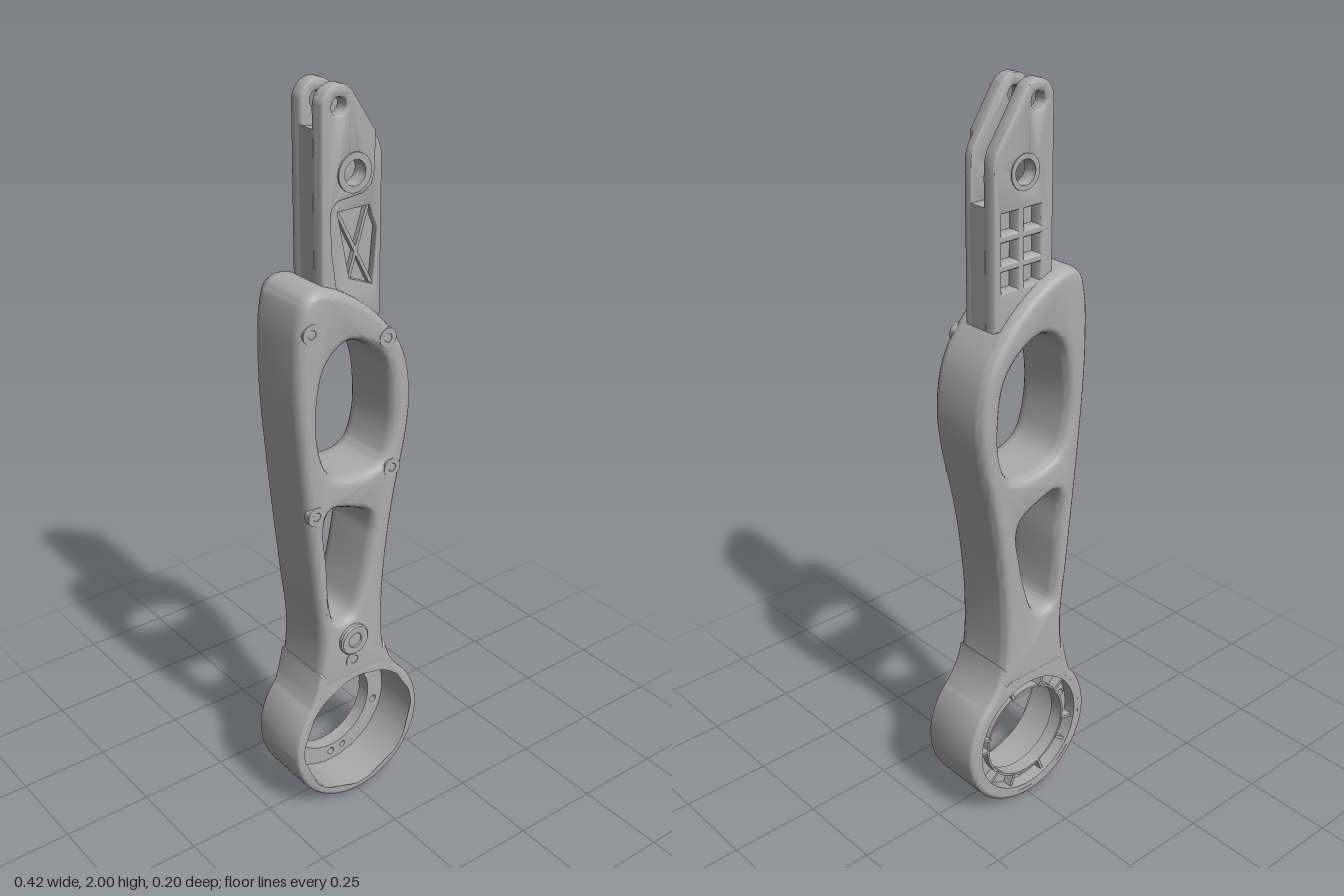
import * as THREE from 'three';
import { toCreasedNormals } from 'three/addons/utils/BufferGeometryUtils.js';

const metal = new THREE.MeshStandardMaterial({ color: 0xacacac });
metal.name = 'grey metal';

const vecs = (pts) => pts.map(([x, y]) => new THREE.Vector2(x, y));
const poly = (pts) => new THREE.Shape(vecs(pts));
const circle = (x, y, r, n = 32) => poly(Array.from({ length: n }, (_, i) => {
  const a = (i / n) * Math.PI * 2;
  return [x + r * Math.cos(a), y + r * Math.sin(a)];
}));
const arc = (x, y, r, from, to, n) => Array.from({ length: n + 1 }, (_, i) => {
  const a = THREE.MathUtils.degToRad(from + ((to - from) * i) / n);
  return [x + r * Math.cos(a), y + r * Math.sin(a)];
});
// smooth curve through points
const spline = (pts, closed, n) => new THREE.Shape(
  new THREE.CatmullRomCurve3(pts.map(([x, y]) => new THREE.Vector3(x, y, 0)), closed, 'centripetal')
    .getPoints(n).slice(0, closed ? n : n + 1).map((p) => new THREE.Vector2(p.x, p.y)));

// plate between two depths, with rounded edges that stay inside the outline; holes run counterclockwise
function slab(shape, holes, z0, z1, size = 0, thick = size, segments = 4) {
  shape.holes = holes;
  const g = new THREE.ExtrudeGeometry(shape, {
    depth: z1 - z0 - 2 * thick, bevelEnabled: size > 0, bevelSize: size, bevelOffset: -size,
    bevelThickness: thick, bevelSegments: segments, curveSegments: 32,
  });
  return g.translate(0, 0, z0 + thick);
}

export function createModel() {
  const model = new THREE.Group();
  const add = (name, geometry, parent = model) => {
    const m = new THREE.Mesh(toCreasedNormals(geometry, 0.6), metal);
    m.name = name;
    parent.add(m);
    return m;
  };

  // curved handle with two rounded openings
  const handle = spline([
    [-0.138, 0.401], [-0.127, 0.45], [-0.121, 0.55], [-0.138, 0.71], [-0.168, 1.0], [-0.188, 1.25],
    [-0.189, 1.38], [-0.183, 1.46], [-0.165, 1.52], [-0.13, 1.54], [-0.07, 1.527], [0.01, 1.48],
    [0.09, 1.405], [0.142, 1.325], [0.165, 1.21], [0.158, 1.1], [0.12, 0.92], [0.096, 0.76],
    [0.085, 0.6], [0.091, 0.47], [0.111, 0.401]], false, 120);
  const upperHole = spline([
    [-0.04, 1.388], [-0.1, 1.345], [-0.127, 1.24], [-0.123, 1.13], [-0.09, 1.045], [0, 1.015],
    [0.07, 1.03], [0.098, 1.09], [0.104, 1.18], [0.083, 1.3], [0.025, 1.365]], true, 64);
  const lowerHole = spline([
    [-0.108, 0.9], [-0.1, 0.79], [-0.09, 0.65], [-0.077, 0.605], [-0.05, 0.592], [-0.02, 0.605],
    [0.01, 0.68], [0.034, 0.79], [0.042, 0.85], [0.03, 0.893], [-0.03, 0.925], [-0.09, 0.938]], true, 64);
  add('handle', slab(handle, [upperHole, lowerHole], -0.103, 0.087, 0.022, 0.032, 5));

  // end ring with neck; the bore is widened after bevelling so its walls stay straight
  const cy = 0.21, R = 0.21;
  const ringShape = poly([
    ...arc(0, cy, R, 45, -222, 90), [-0.146, 0.385], [-0.137, 0.42], [-0.131, 0.45],
    [-0.07, 0.435], [0, 0.43], [0.05, 0.441], [0.094, 0.466], [0.099, 0.445], [0.112, 0.41], [0.13, 0.38]]);
  const ring = slab(ringShape, [circle(0, cy, 0.15, 90)], -0.1, 0.086, 0.014);
  const p = ring.attributes.position;
  for (let i = 0; i < p.count; i++) {
    const x = p.getX(i), y = p.getY(i) - cy, r = Math.hypot(x, y);
    if (r < 0.17) p.setXY(i, (x * 0.187) / r, cy + (y * 0.187) / r);
  }
  add('endRing', ring);

  // flange inside the ring, drilled around its edge
  const drill = [90, 45, -15, -90, -135, 165].map((a) => {
    const [[x, y]] = arc(0, cy, 0.159, a, a, 1);
    return circle(x, y, 0.011, 16);
  });
  drill.push(circle(-0.042, 0.363, 0.009, 12), circle(0.042, 0.057, 0.009, 12));
  add('ringFlange', slab(circle(0, cy, 0.189, 72), [circle(0, cy, 0.135, 72), ...drill], -0.062, -0.045));
  add('rearRim', slab(circle(0, cy, 0.19, 72), [circle(0, cy, 0.173, 72)], -0.099, -0.05));
  add('rearLip', slab(circle(0, cy, 0.141, 72), [circle(0, cy, 0.135, 72)], -0.085, -0.05));
  for (const a of [15, 70, 110, 140, 190, 215, 250, 290, 320, 0]) {
    const rib = add('rearRib', new THREE.BoxGeometry(0.04, 0.008, 0.03));
    const [[x, y]] = arc(0, cy, 0.156, a, a, 1);
    rib.position.set(x, y, -0.074);
    rib.rotation.z = THREE.MathUtils.degToRad(a);
  }

  // forked blade: rear cheek, core and front cheek leave a slot at the tip
  const blade = new THREE.Group();
  blade.name = 'blade';
  model.add(blade);
  const tip = arc(-0.042, 1.95, 0.05, 180, 35, 16);
  const outline = () => poly([[-0.092, 1.415], ...tip, [0.086, 1.85], [0.094, 1.825], [0.095, 1.79], [0.095, 1.415]]);
  const pins = () => [circle(-0.042, 1.95, 0.021), circle(0, 1.793, 0.031)];
  const cells = [];
  for (const x of [-0.051, 0.02]) {
    for (const y of [1.514, 1.585, 1.656]) {
      cells.push(poly([[x, y], [x + 0.05, y], [x + 0.05, y + 0.05], [x, y + 0.05]]));
    }
  }
  add('rearCheek', slab(outline(), [...pins(), ...cells], -0.068, -0.028, 0.007), blade);
  add('bladeCore', slab(poly([
    [-0.0925, 1.415], [-0.0925, 1.9], [-0.04, 1.89], [-0.04, 1.74], [-0.02, 1.72],
    [0.0955, 1.72], [0.0955, 1.415]]), [], -0.036, 0.018), blade);
  const pocket = poly([[-0.035, 1.7], [0, 1.53], [0.07, 1.5], [0.083, 1.64], [0.058, 1.7]]);
  add('frontCheek', slab(outline(), [...pins(), pocket], 0.013, 0.036, 0.003), blade);
  add('frontRaisedPlate', slab(poly([
    [-0.092, 1.415], ...tip, [0.065, 1.88], [0.065, 1.79], [0.055, 1.755], [0.03, 1.737],
    [-0.045, 1.73], [-0.062, 1.715], [-0.065, 1.69], [-0.06, 1.6], [-0.045, 1.5], [-0.045, 1.415]]),
  pins(), 0.0135, 0.052, 0.007), blade);
  // crossed ribs inside the pocket
  for (const [x0, y0, x1, y1] of [[-0.033, 1.698, 0.069, 1.503], [0.057, 1.698, 0.002, 1.532]]) {
    const rib = add('pocketRib', new THREE.BoxGeometry(Math.hypot(x1 - x0, y1 - y0), 0.009, 0.014), blade);
    rib.position.set((x0 + x1) / 2, (y0 + y1) / 2, 0.024);
    rib.rotation.z = Math.atan2(y1 - y0, x1 - x0);
  }
  // pivot bosses
  add('frontBoss', slab(circle(0, 1.793, 0.048), [circle(0, 1.793, 0.031)], 0.045, 0.057), blade);
  add('rearBoss', slab(circle(0, 1.793, 0.044), [circle(0, 1.793, 0.031)], -0.071, -0.06), blade);

  // turned fasteners facing the front
  const turned = (name, x, y, profile) => {
    const g = new THREE.LatheGeometry(vecs(profile), 32).rotateX(Math.PI / 2);
    add(name, g).position.set(x, y, 0);
  };
  const screw = [[0.026, 0.07], [0.026, 0.0885], [0.012, 0.0885], [0.011, 0.0875], [0, 0.0875]];
  for (const [x, y] of [[-0.151, 1.44], [0.08, 1.373], [0.1, 1.008], [-0.141, 0.945], [-0.02, 0.46]]) {
    turned('screw', x, y, screw);
  }
  turned('button', -0.025, 0.53, [[0.045, 0.07], [0.045, 0.096], [0.041, 0.1], [0.022, 0.1],
    [0.02, 0.096], [0, 0.096]]);
  return model;
}
